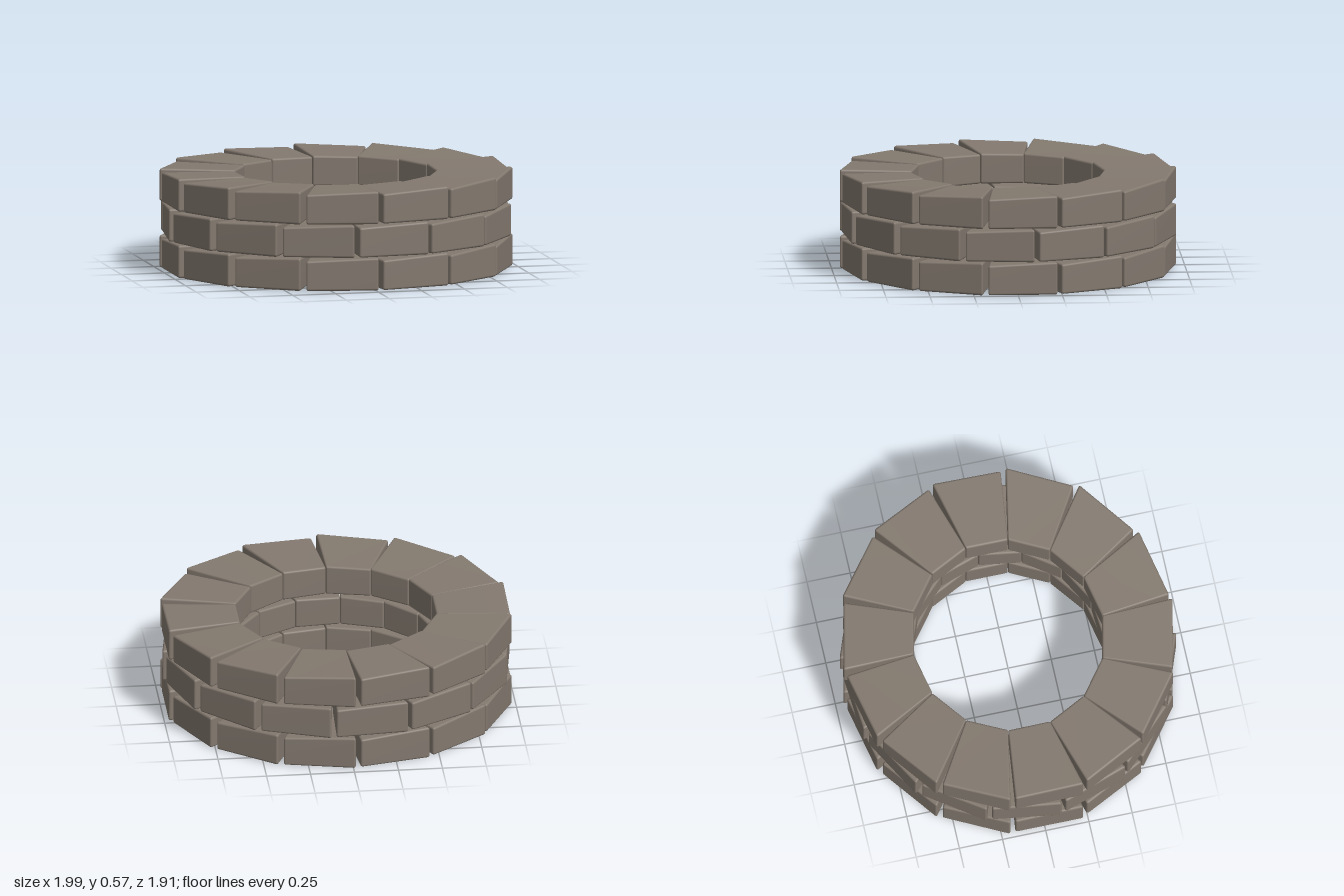
import * as THREE from 'three';
import { RoundedBoxGeometry } from 'three/addons/geometries/RoundedBoxGeometry.js';
import { mergeVertices } from 'three/addons/utils/BufferGeometryUtils.js';

const STONES = 14;
const PITCH = (Math.PI * 2) / STONES;
const COURSE_HEIGHT = 0.19;
const DEG = Math.PI / 180;

// Corner of a stone in plan: angle runs from +x towards +z
const corner = (angle, radius, top) => ({
  x: Math.cos(angle) * radius, z: Math.sin(angle) * radius, top,
});

// One wedge-shaped stone: a rounded block remapped onto four plan corners,
// its top sloping down along the ring and towards the inside
function stoneGeometry() {
  const size = [0.42, 0.19, 0.42];
  const block = new RoundedBoxGeometry(...size, 3, 0.014);
  block.deleteAttribute('normal');
  block.deleteAttribute('uv');
  block.clearGroups();
  const geometry = mergeVertices(block, 1e-5);

  const outerStart = corner(-0.8 * DEG, 1.003, 0.188);
  const outerEnd = corner(PITCH - 2.5 * DEG, 0.99, 0.17);
  const innerStart = corner(0, 0.572, 0.174);
  const innerEnd = corner(PITCH, 0.572, 0.168);

  const p = geometry.attributes.position;
  for (let i = 0; i < p.count; i++) {
    const along = p.getX(i) / size[0] + 0.5;
    const up = p.getY(i) / size[1] + 0.5;
    const inward = p.getZ(i) / size[2] + 0.5;
    const blend = (key) => THREE.MathUtils.lerp(
      THREE.MathUtils.lerp(outerStart[key], outerEnd[key], along),
      THREE.MathUtils.lerp(innerStart[key], innerEnd[key], along),
      inward,
    );
    p.setXYZ(i, blend('x'), blend('top') * up, blend('z'));
  }
  geometry.computeVertexNormals();
  return geometry;
}

export function createModel() {
  const model = new THREE.Group();
  model.name = 'stoneRing';
  const stoneGrey = new THREE.MeshStandardMaterial({ color: 0x83796f });
  stoneGrey.name = 'stoneGrey';
  const geometry = stoneGeometry();

  // Three courses, the middle one turned so the joints are staggered
  ['bottomCourse', 'middleCourse', 'topCourse'].forEach((name, level) => {
    const course = new THREE.Group();
    course.name = name;
    course.position.y = level * COURSE_HEIGHT;
    course.scale.z = 0.953; // the ring is slightly oval
    const turn = level === 1 ? 8 * DEG : 0;
    for (let i = 0; i < STONES; i++) {
      const stone = new THREE.Mesh(geometry, stoneGrey);
      stone.name = 'stone';
      stone.rotation.y = -(Math.PI / 2 + i * PITCH + turn);
      course.add(stone);
    }
    model.add(course);
  });
  return model;
}
